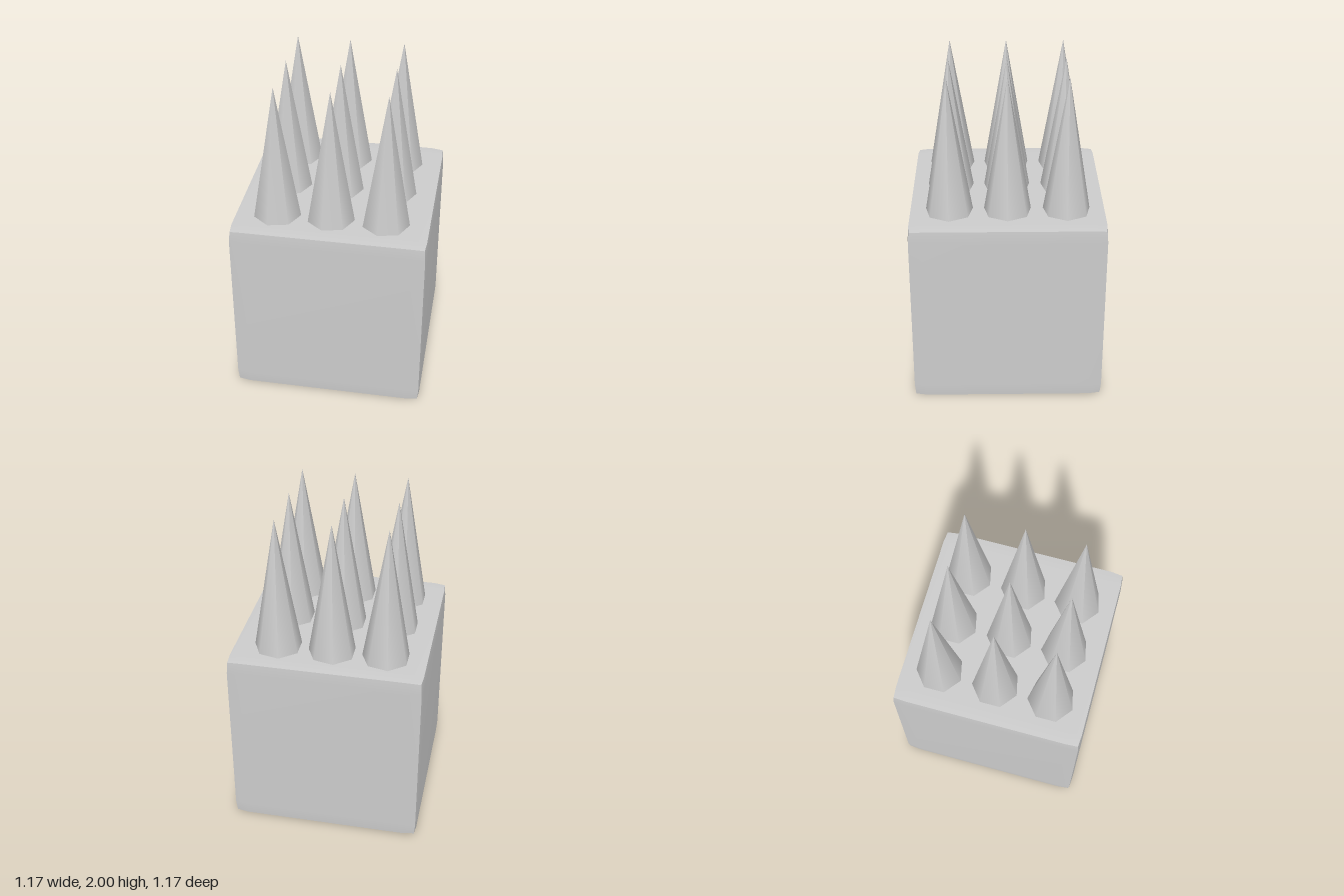
import * as THREE from 'three';

const HALF = 0.583;   // half width of the block at the middle of a face
const INNER = 0.5;    // where the faces begin to fall away

// Block with slightly pillowed faces: edges sit lower than faces, corners lower still
function pillowedBlock() {
  const geometry = new THREE.BoxGeometry(2, 2, 2, 3, 3, 3);
  const reach = [0, HALF, 0.577, 0.571];
  const p = geometry.attributes.position;
  for (let i = 0; i < p.count; i++) {
    const c = [p.getX(i), p.getY(i), p.getZ(i)];
    const outer = c.filter((v) => Math.abs(v) > 0.9).length;
    p.setXYZ(i, ...c.map((v) => Math.sign(v) * (Math.abs(v) > 0.9 ? reach[outer] : INNER)));
  }
  geometry.computeVertexNormals(); // sides keep their own vertices, so edges stay sharp
  return geometry;
}

export function createModel() {
  const model = new THREE.Group();
  model.name = 'spikeBlock';
  const material = new THREE.MeshStandardMaterial({ color: 0xcccccc });

  const block = new THREE.Mesh(pillowedBlock(), material);
  block.name = 'block';
  block.position.y = HALF;
  model.add(block);

  // Three by three seven-sided spikes, one corner of each pointing to +x
  const base = 1.155;
  const height = 2 - base;
  const spikeGeometry = new THREE.ConeGeometry(0.145, height, 7, 1, false, Math.PI / 2);
  const spikes = new THREE.Group();
  spikes.name = 'spikes';
  for (const z of [-0.35, 0, 0.345]) {
    for (const x of [-0.333, -0.01, 0.317]) {
      const spike = new THREE.Mesh(spikeGeometry, material);
      spike.name = 'spike';
      spike.position.set(x, base + height / 2, z);
      spikes.add(spike);
    }
  }
  model.add(spikes);
  return model;
}
